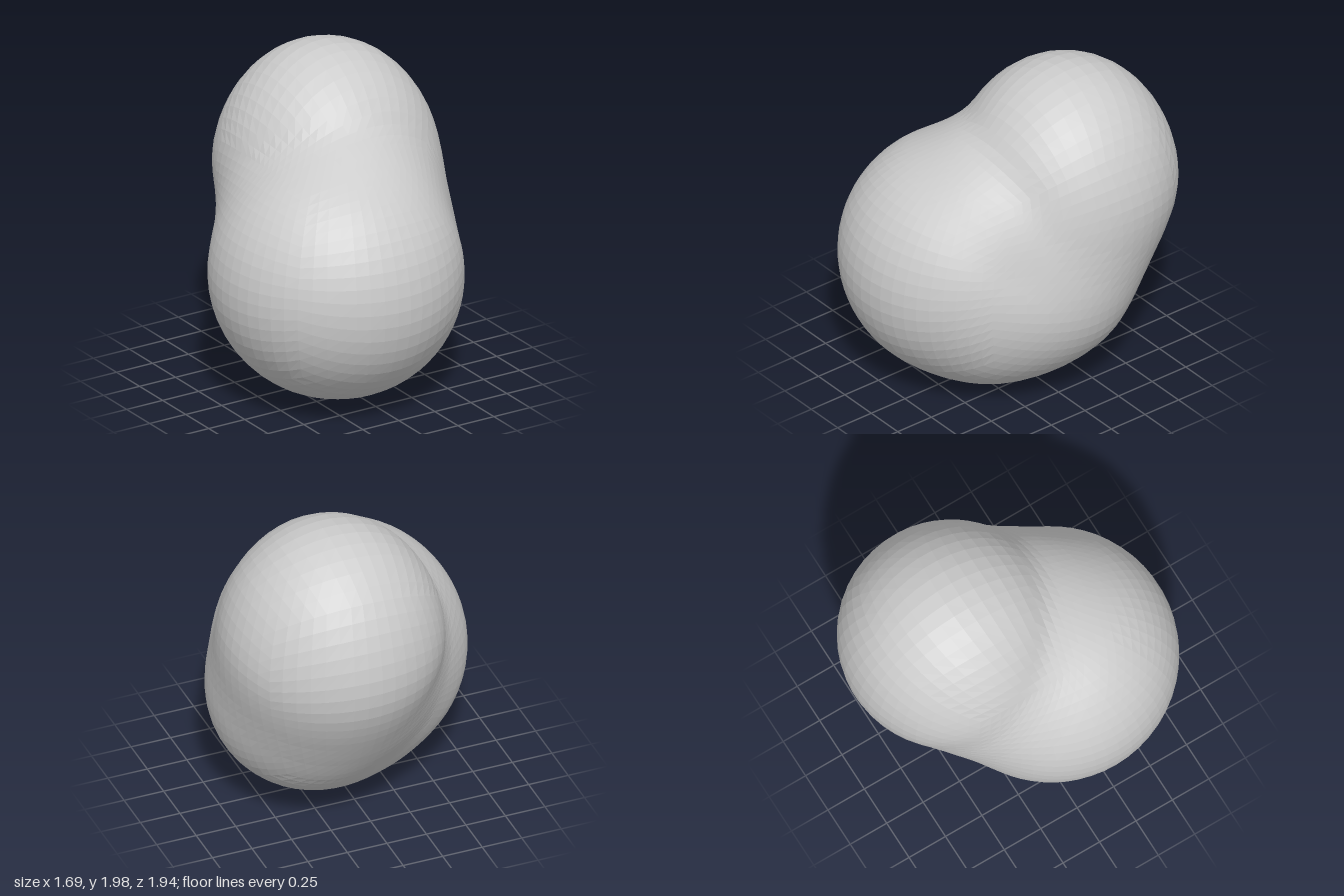
import * as THREE from 'three';

// Overlapping balls that melt into one body
const balls = [
  { c: new THREE.Vector3(0.17, 1.26, -0.3), r: 0.67 },   // upper back lobe
  { c: new THREE.Vector3(0.17, 1.44, -0.31), r: 0.56 },  // crown
  { c: new THREE.Vector3(-0.1, 0.8, 0.22), r: 0.75 },    // lower front lobe
  { c: new THREE.Vector3(0.06, 0.665, 0.12), r: 0.64 },  // underside
  { c: new THREE.Vector3(0.2, 0.75, -0.05), r: 0.61 },   // lower back corner
  { c: new THREE.Vector3(0.17, 1.0, -0.18), r: 0.64 },   // back flank
  { c: new THREE.Vector3(0.035, 0.98, -0.04), r: 0.66 }, // waist
  { c: new THREE.Vector3(0.04, 1.08, 0.1), r: 0.57 },    // saddle between the lobes
];
const BLEND = 0.1;

const smoothMin = (a, b) => {
  const h = Math.max(BLEND - Math.abs(a - b), 0) / BLEND;
  return Math.min(a, b) - h * h * BLEND * 0.25;
};

const field = (p) => balls.map(({ c, r }) => p.distanceTo(c) - r).reduce(smoothMin);

// Distance from the core to the skin along a direction
function skinDistance(core, dir) {
  let near = 0, far = 2;
  const p = new THREE.Vector3();
  for (let i = 0; i < 30; i++) {
    const mid = (near + far) / 2;
    if (field(p.copy(core).addScaledVector(dir, mid)) < 0) near = mid;
    else far = mid;
  }
  return near;
}

export function createModel() {
  const group = new THREE.Group();
  group.name = 'blob';

  // A gridded cube pushed out onto the blended skin
  const geometry = new THREE.BoxGeometry(2, 2, 2, 18, 18, 18);
  const pos = geometry.attributes.position;
  const core = new THREE.Vector3(0.03, 0.98, 0);
  const dir = new THREE.Vector3();
  for (let i = 0; i < pos.count; i++) {
    dir.fromBufferAttribute(pos, i);
    // Even out the cell sizes before projecting
    dir.set(...dir.toArray().map((v) => Math.tan(v * Math.PI / 4))).normalize();
    dir.multiplyScalar(skinDistance(core, dir)).add(core);
    pos.setXYZ(i, dir.x, dir.y, dir.z);
  }

  // Rest the lowest point on the floor
  geometry.computeBoundingBox();
  geometry.translate(0, -geometry.boundingBox.min.y, 0);
  geometry.computeVertexNormals();

  const body = new THREE.Mesh(
    geometry,
    new THREE.MeshStandardMaterial({ color: 0xcccccc, flatShading: true })
  );
  body.name = 'body';
  group.add(body);
  return group;
}
